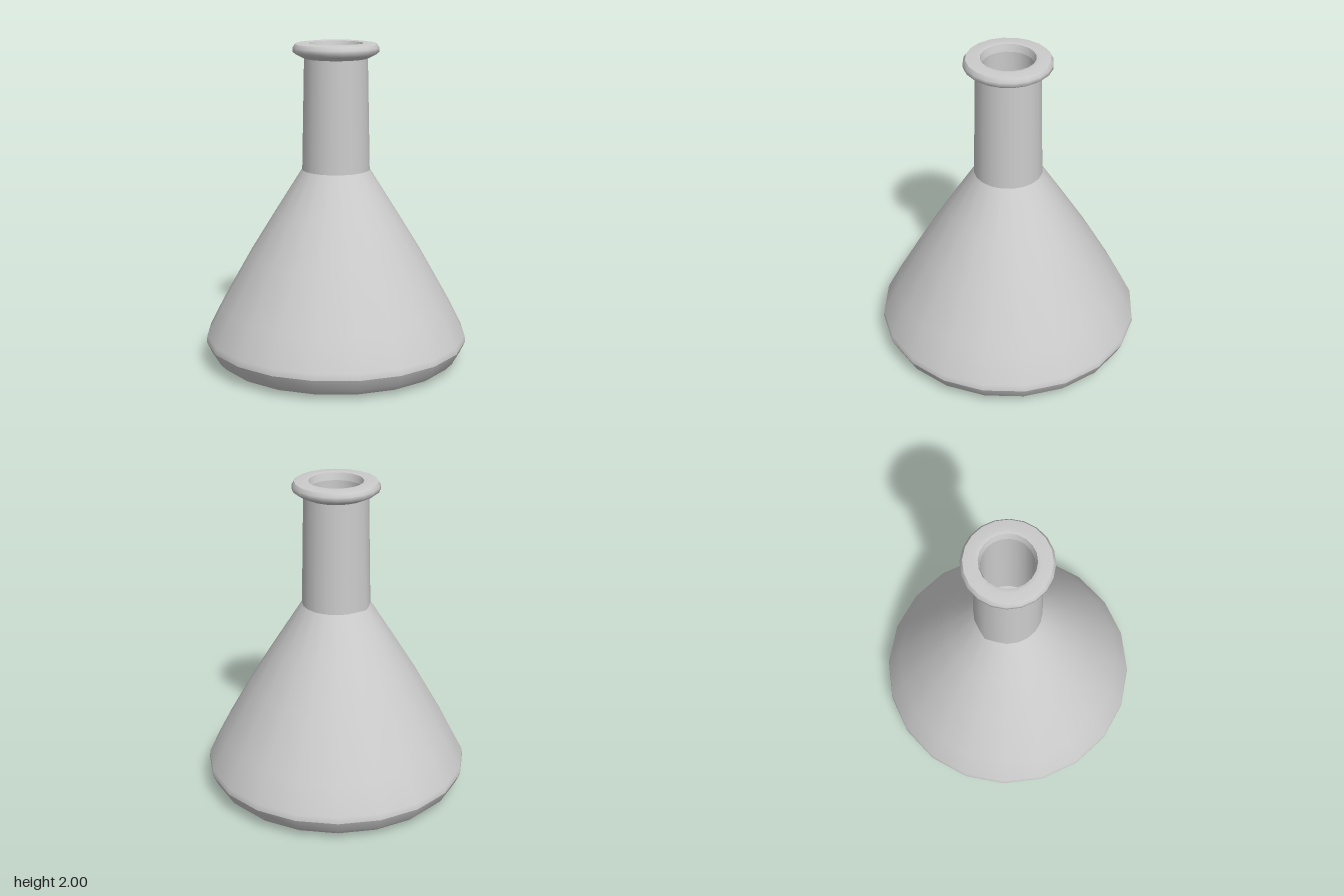
import * as THREE from 'three';

const SIDES = 20;
const SHOULDER = 1.22;

export function createModel() {
  const group = new THREE.Group();
  const material = new THREE.MeshStandardMaterial({ color: 0xcccccc });

  // Each section is its own lathe, so the joins between them stay creased.
  const addSection = (name, points) => {
    const profile = points.map(([r, y]) => new THREE.Vector2(r, y));
    const mesh = new THREE.Mesh(new THREE.LatheGeometry(profile, SIDES), material);
    mesh.name = name;
    group.add(mesh);
    return mesh;
  };

  // Outside, from the bottom up
  addSection('bottom', [[0, 0], [0.58, 0], [0.75, 0.03]]);
  addSection('baseCurve', [[0.75, 0.03], [0.79, 0.07], [0.822, 0.14]]);
  const body = addSection('body', [
    [0.822, 0.14], [0.817, 0.18], [0.725, 0.36], [0.54, 0.69], [0.38, 0.95], [0.211, SHOULDER],
  ]);
  const neck = addSection('neck', [[0.211, SHOULDER], [0.196, 1.91]]);

  // Rim
  addSection('rimUnderside', [[0.196, 1.905], [0.245, 1.93]]);
  addSection('rimEdge', [[0.245, 1.93], [0.264, 1.945], [0.265, 1.97], [0.25, 1.992]]);
  addSection('rimTop', [[0.25, 1.992], [0.19, 2], [0.165, 1.995]]);

  // Inside, from the mouth down
  addSection('mouth', [[0.165, 1.995], [0.153, 1.95]]);
  addSection('innerNeck', [[0.153, 1.95], [0.165, SHOULDER]]);
  addSection('innerBody', [[0.165, SHOULDER], [0.5, 0.69], [0.685, 0.36], [0.775, 0.16], [0.72, 0.06]]);
  addSection('innerFloor', [[0.72, 0.06], [0, 0.05]]);

  // Slight bump where the neck meets the body on the right side
  for (const { geometry } of [body, neck]) {
    const pos = geometry.attributes.position;
    for (let i = 0; i < pos.count; i++) {
      if (Math.abs(pos.getY(i) - SHOULDER) < 0.01 && pos.getX(i) < -0.21) {
        pos.setX(i, -0.226);
      }
    }
  }

  return group;
}
